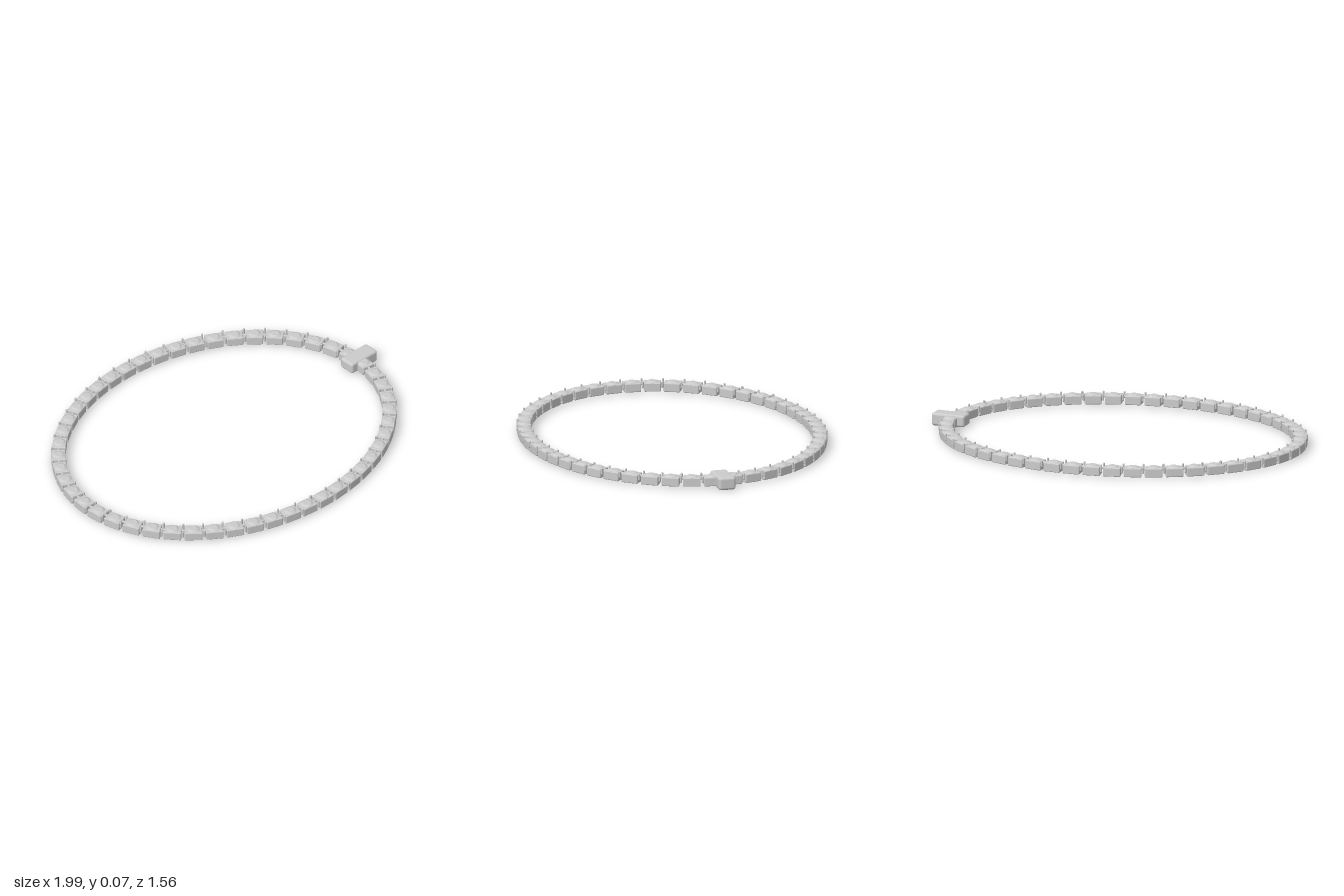
import * as THREE from 'three';
import { RoundedBoxGeometry } from 'three/addons/geometries/RoundedBoxGeometry.js';

const LINKS = 50;
const metal = new THREE.MeshStandardMaterial({ color: 0xcccccc });
const facet = new THREE.MeshStandardMaterial({ color: 0xcccccc, flatShading: true });

// Move every vertex by a rule and refresh the normals
function reshape(geometry, rule) {
  const p = geometry.attributes.position;
  const v = new THREE.Vector3();
  for (let i = 0; i < p.count; i++) {
    v.fromBufferAttribute(p, i);
    rule(v);
    p.setXYZ(i, v.x, v.y, v.z);
  }
  return geometry;
}

function part(name, geometry, material, x = 0, y = 0, z = 0) {
  const mesh = new THREE.Mesh(geometry, material);
  mesh.name = name;
  mesh.position.set(x, y, z);
  return mesh;
}

export function createModel() {
  const model = new THREE.Group();
  model.name = 'bracelet';

  // Oval centreline, in x and z
  const oval = new THREE.EllipseCurve(-0.035, 0, 0.925, 0.74, 0, Math.PI * 2);
  oval.arcLengthDivisions = 1000;

  // Setting: block that is longer on the outside of the oval (local -z)
  const settingGeo = reshape(new RoundedBoxGeometry(0.088, 0.046, 0.07, 2, 0.005), (v) => {
    v.x *= 1 - v.z * 1.2;
  });

  // Round cut stone: girdle, crown and flat table
  const stoneGeo = new THREE.LatheGeometry([
    [0.02, -0.012], [0.034, -0.001], [0.034, 0.001], [0.021, 0.008], [0, 0.008],
  ].map(([x, y]) => new THREE.Vector2(x, y)), 12);

  const prongGeo = new THREE.CapsuleGeometry(0.0055, 0.026, 4, 8);
  const hingeGeo = new THREE.CylinderGeometry(0.007, 0.007, 0.03, 8);
  hingeGeo.rotateZ(Math.PI / 2);

  // Frame on the oval whose local x follows the path
  function station(name, u) {
    const g = new THREE.Group();
    const p = oval.getPointAt(u);
    const t = oval.getTangentAt(u);
    g.name = name;
    g.position.set(p.x, 0, p.y);
    g.rotation.y = Math.atan2(-t.y, t.x);
    model.add(g);
    return g;
  }

  for (let i = 0; i < LINKS; i++) {
    const link = station('link', (i + 0.5) / LINKS);
    link.add(part('setting', settingGeo, metal, 0, 0.03, 0));
    link.add(part('stone', stoneGeo, facet, 0, 0.052, 0));

    // Joint with an inner and an outer prong; the clasp covers the first
    if (i === 0) continue;
    const joint = station('joint', i / LINKS);
    joint.add(part('hinge', hingeGeo, metal, 0, 0.044, 0));
    for (const z of [-0.034, 0.032]) {
      joint.add(part('prong', prongGeo, metal, 0, 0.045, z));
    }
  }

  // Clasp: rounded bar across the band, waisted and lower at its inner end
  const claspGeo = reshape(new RoundedBoxGeometry(0.18, 0.068, 0.09, 5, 0.014), (v) => {
    const s = v.x / 0.09;
    v.z *= 0.93 + 0.07 * s * s;
    v.y *= 0.94 + 0.06 * s;
  });
  model.add(part('clasp', claspGeo, metal, 0.905, 0.034, 0));

  return model;
}
